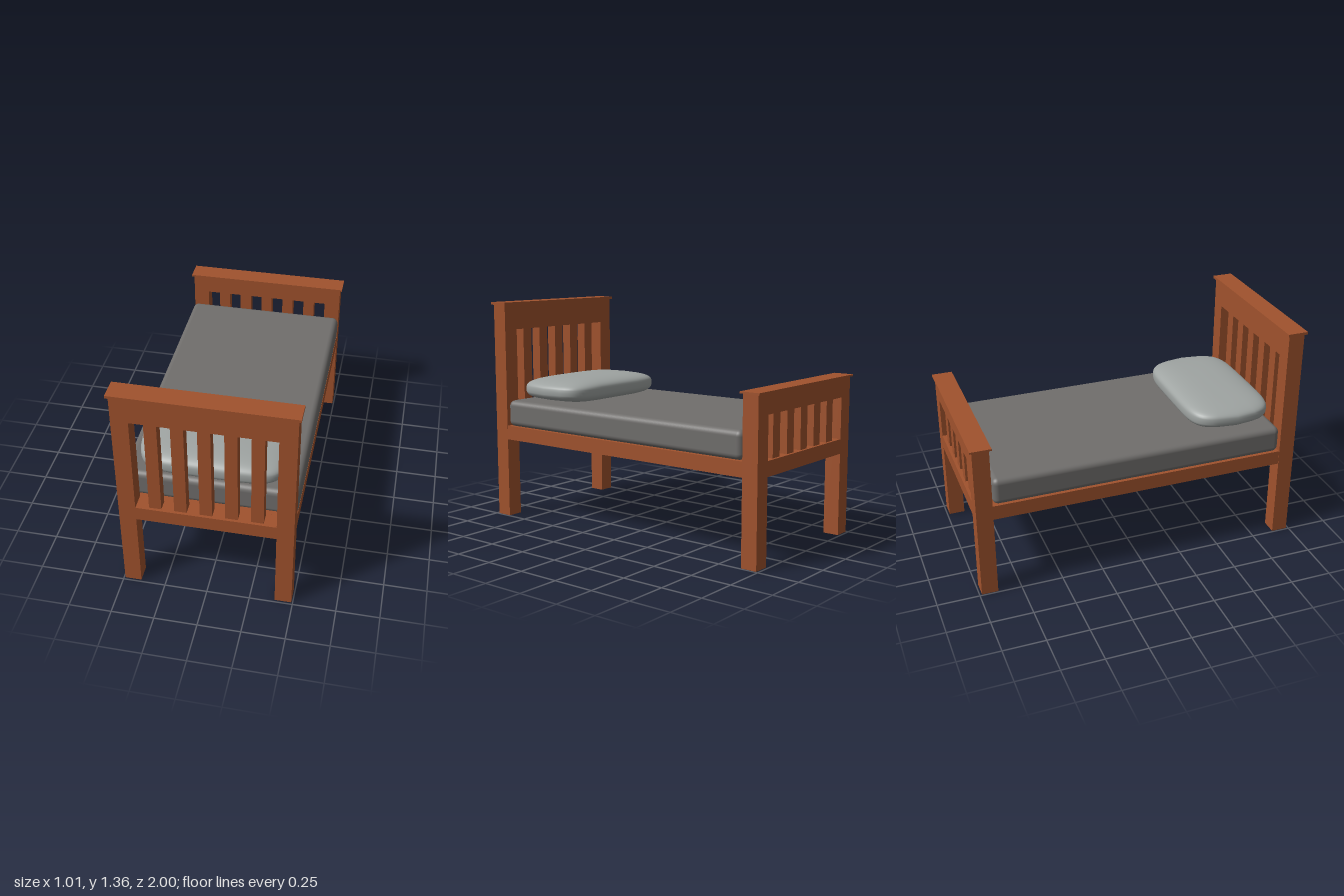
import * as THREE from 'three';
import { mergeVertices } from 'three/addons/utils/BufferGeometryUtils.js';
import { RoundedBoxGeometry } from 'three/addons/geometries/RoundedBoxGeometry.js';

const wood = new THREE.MeshStandardMaterial({ name: 'reddish wood', color: 0xa0522d });
const sheet = new THREE.MeshStandardMaterial({ name: 'dark grey fabric', color: 0x706e6c });
const linen = new THREE.MeshStandardMaterial({ name: 'light grey fabric', color: 0x9fa4a2 });

const RAIL_BOTTOM = 0.495, RAIL_TOP = 0.582;

// Box given by its min and max corners
function box(name, [x0, y0, z0], [x1, y1, z1]) {
  const mesh = new THREE.Mesh(new THREE.BoxGeometry(x1 - x0, y1 - y0, z1 - z0), wood);
  mesh.position.set((x0 + x1) / 2, (y0 + y1) / 2, (z0 + z1) / 2);
  mesh.name = name;
  return mesh;
}

// Post-and-slat end panel, centred on its own z = 0
function endPanel(name, top, openingTop, capTop, depth) {
  const g = new THREE.Group();
  g.name = name;
  const d = depth / 2;
  g.add(
    box('rightPost', [-0.492, 0, -d], [-0.395, top, d]),
    box('leftPost', [0.395, 0, -d], [0.492, top, d]),
    box('topRail', [-0.395, openingTop, -d], [0.395, top, d]),
    box('bottomRail', [-0.395, RAIL_BOTTOM, -d], [0.395, RAIL_TOP, d]),
    box('cap', [-0.505, top, -d - 0.013], [0.505, capTop, d + 0.013])
  );
  for (let i = -2; i <= 2; i++) {
    const x = i * 0.143;
    g.add(box('slat', [x - 0.035, RAIL_TOP, -0.032], [x + 0.035, openingTop, 0.032]));
  }
  return g;
}

// Pillow: sphere squared off into a cushion, with sides tapering to the corners
function pillow() {
  let geo = new THREE.SphereGeometry(1, 56, 28);
  geo.deleteAttribute('uv');
  geo.deleteAttribute('normal');
  const p = geo.attributes.position;
  const pow = (v, e) => Math.sign(v) * Math.pow(Math.abs(v) < 1e-6 ? 0 : Math.abs(v), e);
  for (let i = 0; i < p.count; i++) {
    const y = p.getY(i);
    const r = Math.hypot(p.getX(i), p.getZ(i));
    const c = r < 1e-6 ? 0 : p.getX(i) / r;
    const s = r < 1e-6 ? 0 : p.getZ(i) / r;
    const ring = pow(r, 0.5);
    const z = ring * pow(s, 0.35);
    const x = ring * pow(c, 0.35) * (1 - 0.12 * Math.pow(Math.abs(z), 1.5));
    const crown = y > 0 ? 1 - 0.1 * x * x - 0.12 * z * z : 1;
    p.setXYZ(i, x * 0.433, pow(y, 0.65) * 0.073 * crown, z * 0.258);
  }
  geo = mergeVertices(geo, 1e-5);
  geo.computeVertexNormals();
  const mesh = new THREE.Mesh(geo, linen);
  mesh.position.set(0, 0.814, 0.628);
  mesh.name = 'pillow';
  return mesh;
}

export function createModel() {
  const bed = new THREE.Group();
  bed.name = 'bed';

  // Tall headboard at the front, low footboard at the back
  const head = endPanel('headboard', 1.34, 1.185, 1.356, 0.097);
  head.position.z = 0.9375;
  const foot = endPanel('footboard', 0.945, 0.83, 0.956, 0.097);
  foot.position.z = -0.9375;
  bed.add(head, foot);

  // Solid base between the ends
  bed.add(box('bedBase', [-0.49, RAIL_BOTTOM, -0.889], [0.49, RAIL_TOP, 0.889]));

  // Mattress
  const mattress = new THREE.Mesh(new RoundedBoxGeometry(0.985, 0.163, 1.764, 5, 0.035), sheet);
  mattress.position.y = RAIL_TOP + 0.0815;
  mattress.name = 'mattress';
  bed.add(mattress, pillow());

  return bed;
}
